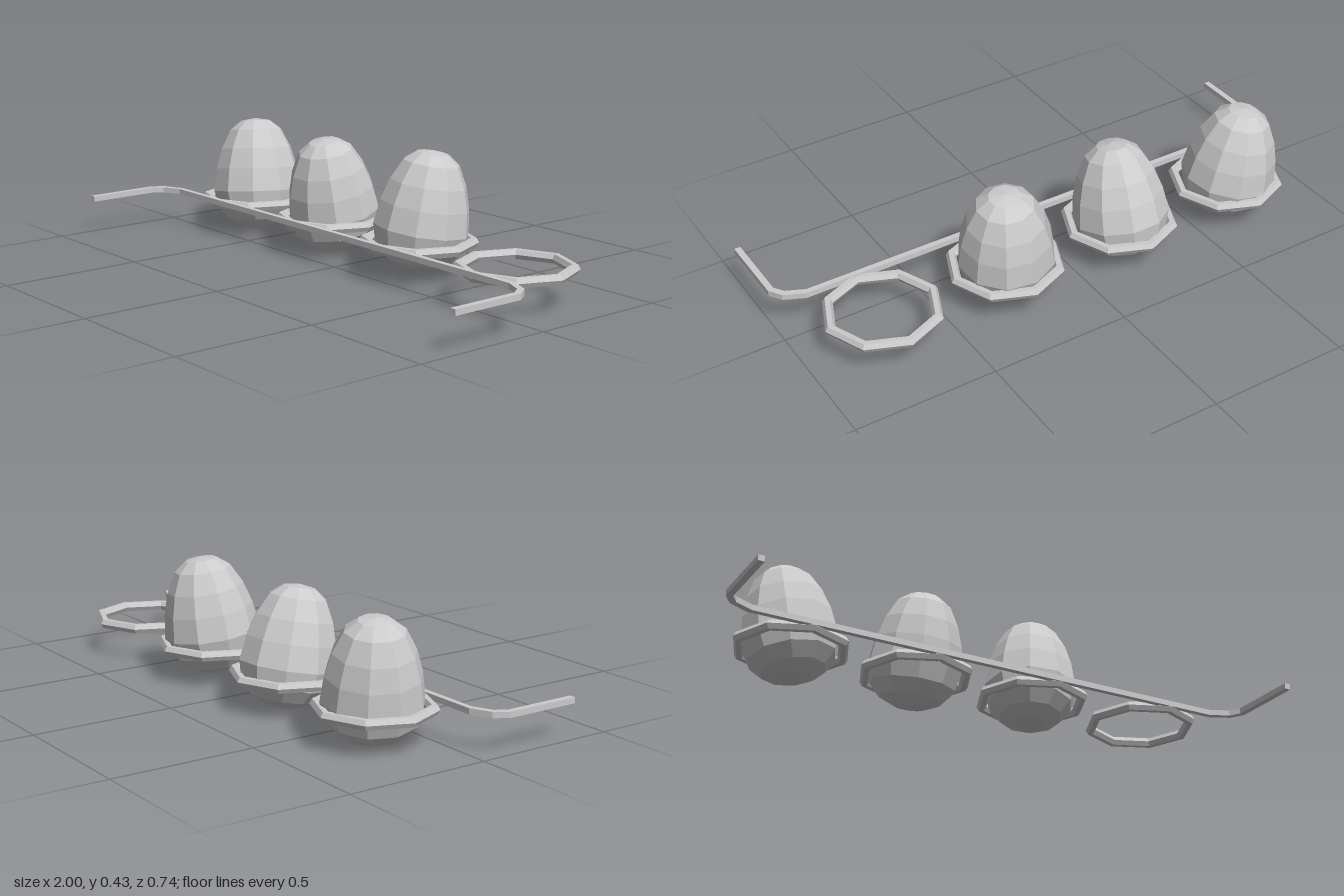
import * as THREE from 'three';

const material = new THREE.MeshStandardMaterial({ color: 0xcccccc, flatShading: true });

function addMesh(parent, name, geometry) {
  const mesh = new THREE.Mesh(geometry, material);
  mesh.name = name;
  parent.add(mesh);
  return mesh;
}

// Square bar with two chamfered corners and forward-pointing ends
function railGeometry() {
  const outer = [[1, 0.368], [1, 0.1], [0.97, 0.055], [0.9, 0.022]];
  const inner = [[0.89, 0.042], [0.955, 0.072], [0.978, 0.107], [0.978, 0.368]];
  const half = [...outer.map(([x, z]) => [x, z])];
  const mirrored = (list) => list.map(([x, z]) => [-x, z]).reverse();
  const outline = [...half, ...mirrored(outer), ...mirrored(inner), ...inner];
  const shape = new THREE.Shape(outline.map(([x, z]) => new THREE.Vector2(x, z)));
  const geometry = new THREE.ExtrudeGeometry(shape, { depth: 0.02, bevelEnabled: false });
  return geometry.rotateX(Math.PI / 2).translate(0, 0.137, 0);
}

// Egg profile, blunt end down, with its origin at the widest level
function eggGeometry() {
  const profile = [
    [0, 0], [0.058, 0.004], [0.112, 0.03], [0.151, 0.075], [0.168, 0.14],
    [0.156, 0.225], [0.134, 0.3], [0.098, 0.37], [0.055, 0.403], [0, 0.412],
  ];
  const points = profile.map(([r, y]) => new THREE.Vector2(r, y - 0.14));
  return new THREE.LatheGeometry(points, 10);
}

export function createModel() {
  const group = new THREE.Group();
  group.name = 'eggHolder';
  addMesh(group, 'rail', railGeometry());

  // Four octagonal rings along the rail
  const ringGeometry = new THREE.TorusGeometry(0.1865, 0.0185, 6, 8).rotateX(Math.PI / 2);
  const centres = [-0.67, -0.207, 0.257, 0.72];
  centres.forEach((x, i) => {
    addMesh(group, `ring${i + 1}`, ringGeometry).position.set(x, 0.116, -0.163);
  });

  // Three eggs, each leaning its own way; the last ring is empty
  const egg = eggGeometry();
  const eggs = [
    { at: [-0.672, 0.144, -0.172], lean: [-0.08, 0.2, 0.14] },
    { at: [-0.208, 0.144, -0.17], lean: [0.2, 0.31, -0.03] },
    { at: [0.257, 0.16, -0.173], lean: [-0.12, 0.1, -0.08] },
  ];
  eggs.forEach(({ at, lean }, i) => {
    const mesh = addMesh(group, `egg${i + 1}`, egg);
    mesh.position.set(...at);
    // Spin about the egg's own axis first, then lean
    mesh.rotation.set(lean[0], lean[1], lean[2], 'XZY');
  });
  return group;
}
